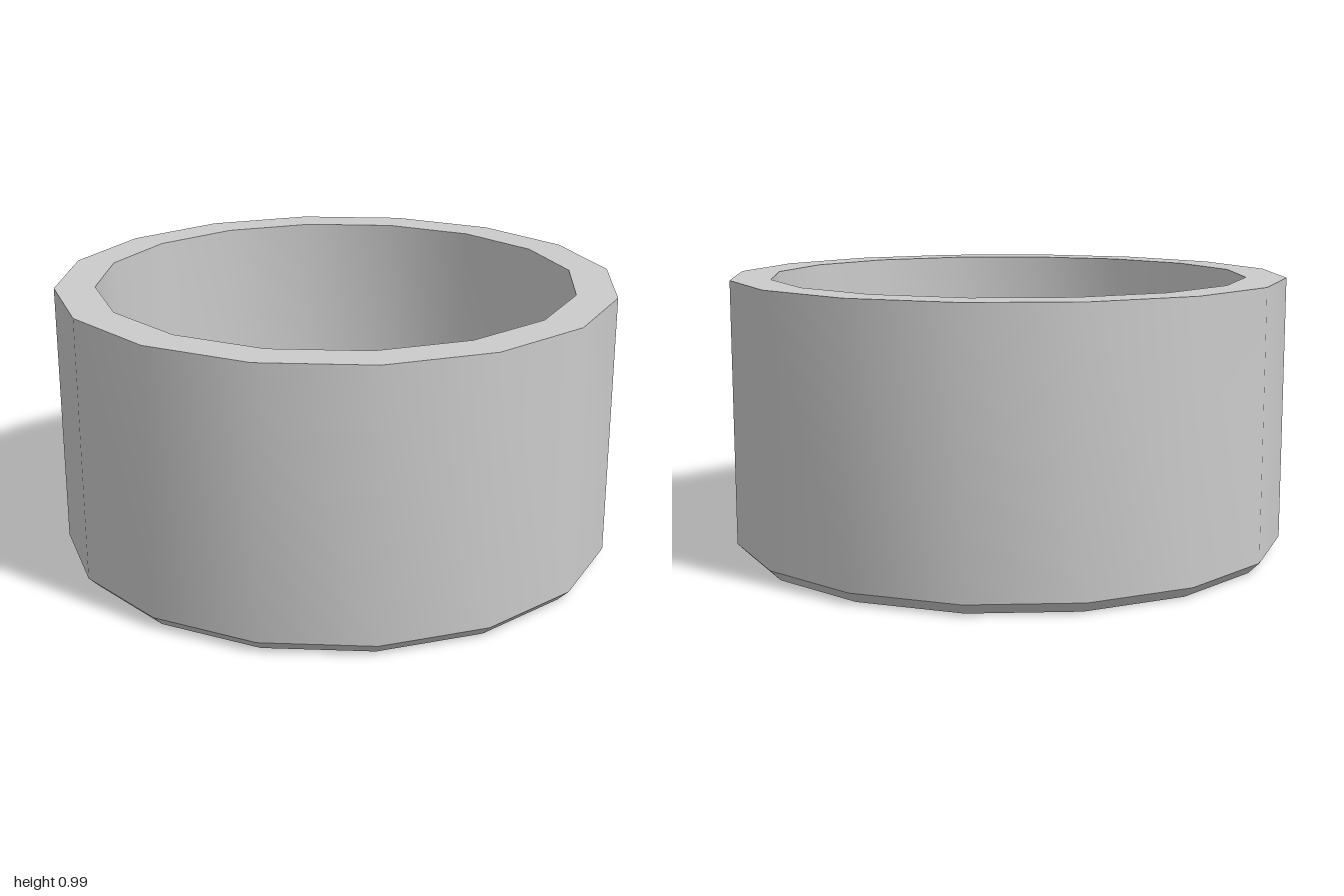
import * as THREE from 'three';
import { toCreasedNormals } from 'three/addons/utils/BufferGeometryUtils.js';

const SIDES = 16;

export function createModel() {
  const group = new THREE.Group();
  group.name = 'cup';
  const material = new THREE.MeshStandardMaterial({ color: 0xcccccc });

  // Closed section: underside, bevelled foot, outer wall, rim, inner wall, floor
  const profile = [
    [0, 0], [0.96, 0], [1, 0.04], [1, 0.985],
    [0.857, 0.985], [0.857, 0.23], [0, 0.23],
  ].map(([r, y]) => new THREE.Vector2(r, y));

  // Smooth around the sides, sharp at the rim, bevel and floor
  const geometry = toCreasedNormals(new THREE.LatheGeometry(profile, SIDES), 0.6);
  const body = new THREE.Mesh(geometry, material);
  body.name = 'cupBody';
  group.add(body);
  return group;
}
